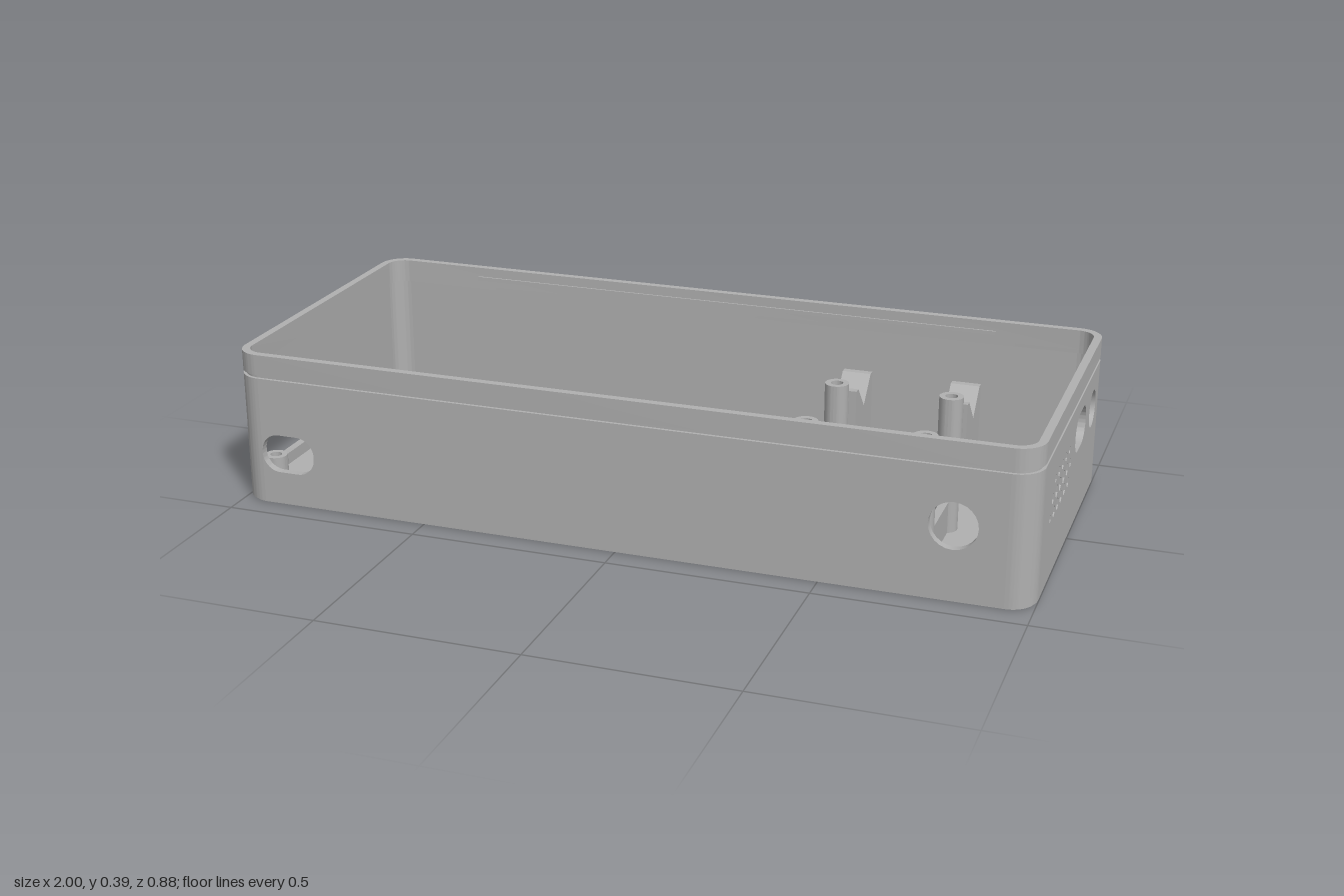
import * as THREE from 'three';
import { toCreasedNormals } from 'three/addons/utils/BufferGeometryUtils.js';

const HX = 1, HZ = 0.44, R = 0.065, T = 0.02;     // half sizes, corner radius, wall
const BASE = 0.005, GROOVE = 0.329, LIP = 0.338, TOP = 0.39, FLOOR = 0.02;

export function createModel() {
  const model = new THREE.Group();
  model.name = 'enclosure';
  const grey = new THREE.MeshStandardMaterial({ color: 0xb0b0b0 });
  grey.name = 'grey plastic';

  const add = (name, geometry, x = 0, y = 0, z = 0) => {
    const mesh = new THREE.Mesh(geometry, grey);
    mesh.name = name;
    mesh.position.set(x, y, z);
    model.add(mesh);
    return mesh;
  };
  const extrude = (shape, depth) => toCreasedNormals(
    new THREE.ExtrudeGeometry(shape, { depth, bevelEnabled: false, curveSegments: 12 }), 0.5);
  // Plan shapes are drawn in (x, -z) and extruded upwards
  const plan = (shape, height) => extrude(shape, height).rotateX(-Math.PI / 2);

  const roundRect = (path, cx, cy, w, h, r) => {
    const a = w / 2 - r, b = h / 2 - r;
    path.absarc(cx + a, cy + b, r, 0, Math.PI / 2);
    path.absarc(cx - a, cy + b, r, Math.PI / 2, Math.PI);
    path.absarc(cx - a, cy - b, r, Math.PI, Math.PI * 1.5);
    path.absarc(cx + a, cy - b, r, Math.PI * 1.5, Math.PI * 2);
    path.closePath();
    return path;
  };
  const outline = (path, inset) =>
    roundRect(path, 0, 0, 2 * (HX - inset), 2 * (HZ - inset), R - inset);
  const circle = (x, y, r) => new THREE.Path().absarc(x, y, r, 0, Math.PI * 2);
  const hex = (x, y, r, turn) => new THREE.Path().setFromPoints(
    Array.from({ length: 7 }, (_, i) => new THREE.Vector2(
      x + r * Math.cos(turn + i * Math.PI / 3), y + r * Math.sin(turn + i * Math.PI / 3))));

  // Floor with a honeycomb speaker grille, larger holes in the middle
  const floor = outline(new THREE.Shape(), BASE);
  const columns = [5, 6, 5, 4, 3];
  for (let i = -4; i <= 4; i++) {
    const n = columns[Math.abs(i)];
    for (let k = 0; k < n; k++) {
      if (i === 4 && k > 0) continue;
      const j = 2 * k - (n - 1);
      const dx = 0.044 * i, dz = 0.0254 * j;
      const r = 0.026 - 0.07 * Math.hypot(dx, dz * 1.2);
      floor.holes.push(hex(-0.608 + dx, -(0.158 + dz), r, 0));
    }
  }
  add('floor', plan(floor, FLOOR));

  // Flat wall panels with their openings
  const panel = (half, holes) => {
    const s = new THREE.Shape();
    s.moveTo(-half, BASE).lineTo(half, BASE).lineTo(half, GROOVE).lineTo(-half, GROOVE).closePath();
    s.holes.push(...holes);
    return extrude(s, T);
  };
  add('frontWall', panel(HX - R, [
    roundRect(new THREE.Path(), -0.863, 0.136, 0.142, 0.098, 0.046),
    circle(0.811, 0.187, 0.058),
  ]), 0, 0, HZ - T);
  add('backWall', panel(HX - R, []), 0, 0, -HZ);

  const vents = [];
  const ventRows = [
    [0.246, 0.23, [0.010, 0.013, 0.0135, 0.0115, 0.0095]],
    [0.206, 0.254, [0.0135, 0.0165, 0.0175, 0.0175, 0.016, 0.012]],
    [0.165, 0.277, [0.0105, 0.0145, 0.0155, 0.0155, 0.015, 0.0135]],
  ];
  for (const [y, z0, radii] of ventRows)
    radii.forEach((r, i) => vents.push(hex(-(z0 - 0.0465 * i), y, r, Math.PI / 6)));
  add('ventWall', panel(HZ - R, [
    ...vents,
    roundRect(new THREE.Path(), 0.114, 0.242, 0.152, 0.095, 0.047),
    circle(0.294, 0.231, 0.048),
  ]).rotateY(Math.PI / 2), HX - T, 0, 0);
  add('portWall', panel(HZ - R, [
    roundRect(new THREE.Path(), -0.195, 0.118, 0.345, 0.136, 0.015),
  ]).rotateY(Math.PI / 2), -HX, 0, 0);

  // Rounded corners
  const sector = new THREE.Shape();
  sector.absarc(0, 0, R, 0, Math.PI / 2, false);
  sector.absarc(0, 0, R - T, Math.PI / 2, 0, true);
  sector.closePath();
  const cornerGeometry = plan(sector, GROOVE - BASE);
  [[1, -1], [-1, -1], [-1, 1], [1, 1]].forEach(([sx, sz], i) => {
    add('corner', cornerGeometry, sx * (HX - R), BASE, sz * (HZ - R))
      .rotation.y = i * Math.PI / 2;
  });

  // Recessed groove and upper rim
  const ring = (inset, height) => {
    const s = outline(new THREE.Shape(), inset);
    s.holes.push(outline(new THREE.Path(), T));
    return plan(s, height);
  };
  add('groove', ring(0.008, LIP - GROOVE), 0, GROOVE, 0);
  add('rim', ring(0, TOP - LIP), 0, LIP, 0);

  // Long snap ridges inside the rim
  for (const s of [-1, 1])
    add('snapRidge', new THREE.BoxGeometry(1.45, 0.01, 0.006), 0, 0.36, s * (HZ - T - 0.002));

  // Hollow screw posts: x, z, top
  const posts = [
    [0.44, 0.08, 0.36], [0.72, 0.08, 0.36], [0.44, 0.35, 0.36], [0.72, 0.35, 0.36],
    [-0.935, -0.08, 0.105], [-0.4, -0.08, 0.105], [-0.935, 0.375, 0.105], [-0.4, 0.375, 0.105],
    [-0.4, -0.3, 0.075], [-0.09, -0.3, 0.075],
    [0.95, -0.17, 0.16], [0.95, -0.065, 0.16],
  ];
  for (const [x, z, top] of posts) {
    const s = new THREE.Shape().absarc(0, 0, 0.029, 0, Math.PI * 2);
    s.holes.push(circle(0, 0, 0.015));
    add('screwPost', plan(s, top - FLOOR), x, FLOOR, z);
  }

  // Ribs and small upright plates: x, z, width, depth, top
  const box = (name, x, z, w, d, top) =>
    add(name, new THREE.BoxGeometry(w, top - FLOOR, d), x, (top + FLOOR) / 2, z);
  box('rib', 0.58, 0.08, 0.23, 0.02, 0.1);
  box('rib', 0.58, 0.35, 0.23, 0.02, 0.1);
  box('rib', 0.72, 0.215, 0.02, 0.22, 0.1);
  box('rib', 0.95, -0.1175, 0.02, 0.055, 0.1);
  for (const z of [-0.17, -0.071]) box('supportPlate', 0.487, z, 0.078, 0.02, 0.14);

  // V-notched cradles, profile in (-z, y)
  const cradle = new THREE.Shape();
  [[0.22, FLOOR], [0.383, FLOOR], [0.383, 0.23], [0.364, 0.23], [0.302, 0.165], [0.24, 0.23], [0.22, 0.23]]
    .forEach(([u, y], i) => (i ? cradle.lineTo(u, y) : cradle.moveTo(u, y)));
  const cradleGeometry = extrude(cradle, 0.075).rotateY(Math.PI / 2);
  for (const x of [0.375, 0.663]) add('cradle', cradleGeometry, x - 0.0375, 0, 0);

  return model;
}
